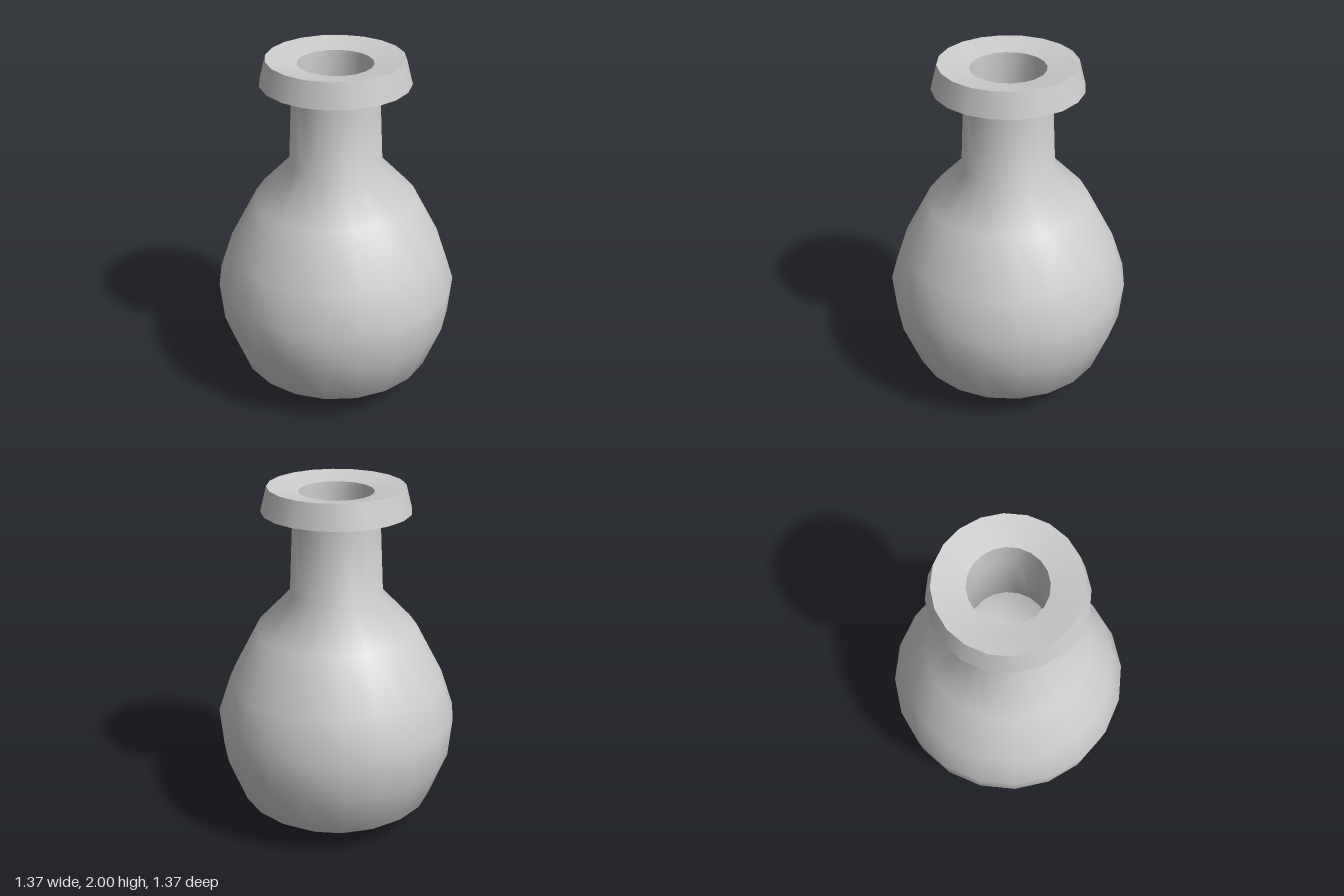
import * as THREE from 'three';

const SIDES = 20;
const material = new THREE.MeshStandardMaterial({ color: 0xcccccc });

// One smooth-shaded band of revolution from [radius, height] pairs.
function turned(name, profile) {
  const points = profile.map(([r, y]) => new THREE.Vector2(r, y));
  const mesh = new THREE.Mesh(new THREE.LatheGeometry(points, SIDES), material);
  mesh.name = name;
  return mesh;
}

export function createModel() {
  const flask = new THREE.Group();
  flask.name = 'flask';

  // Round belly flowing smoothly into the neck
  flask.add(turned('bodyAndNeck', [
    [0, 0], [0.14, 0], [0.44, 0.09], [0.565, 0.18], [0.665, 0.45], [0.685, 0.68],
    [0.61, 0.9], [0.455, 1.195], [0.26, 1.4], [0.24, 1.815],
  ]));

  // Flared lip, with sharp edges between its bands
  const lip = new THREE.Group();
  lip.name = 'lip';
  lip.add(
    turned('lipUnderside', [[0.24, 1.815], [0.41, 1.865]]),
    turned('lipSide', [[0.41, 1.865], [0.375, 2]]),
    turned('lipTop', [[0.375, 2], [0.205, 1.97]]),
  );
  flask.add(lip);

  // Hollow inside, from the mouth down to the floor
  flask.add(turned('innerWall', [
    [0.205, 1.97], [0.2, 1.8], [0.22, 1.39], [0.42, 1.17], [0.57, 0.88], [0.645, 0.67],
    [0.625, 0.46], [0.53, 0.21], [0.42, 0.13], [0.14, 0.04], [0, 0.04],
  ]));

  return flask;
}
